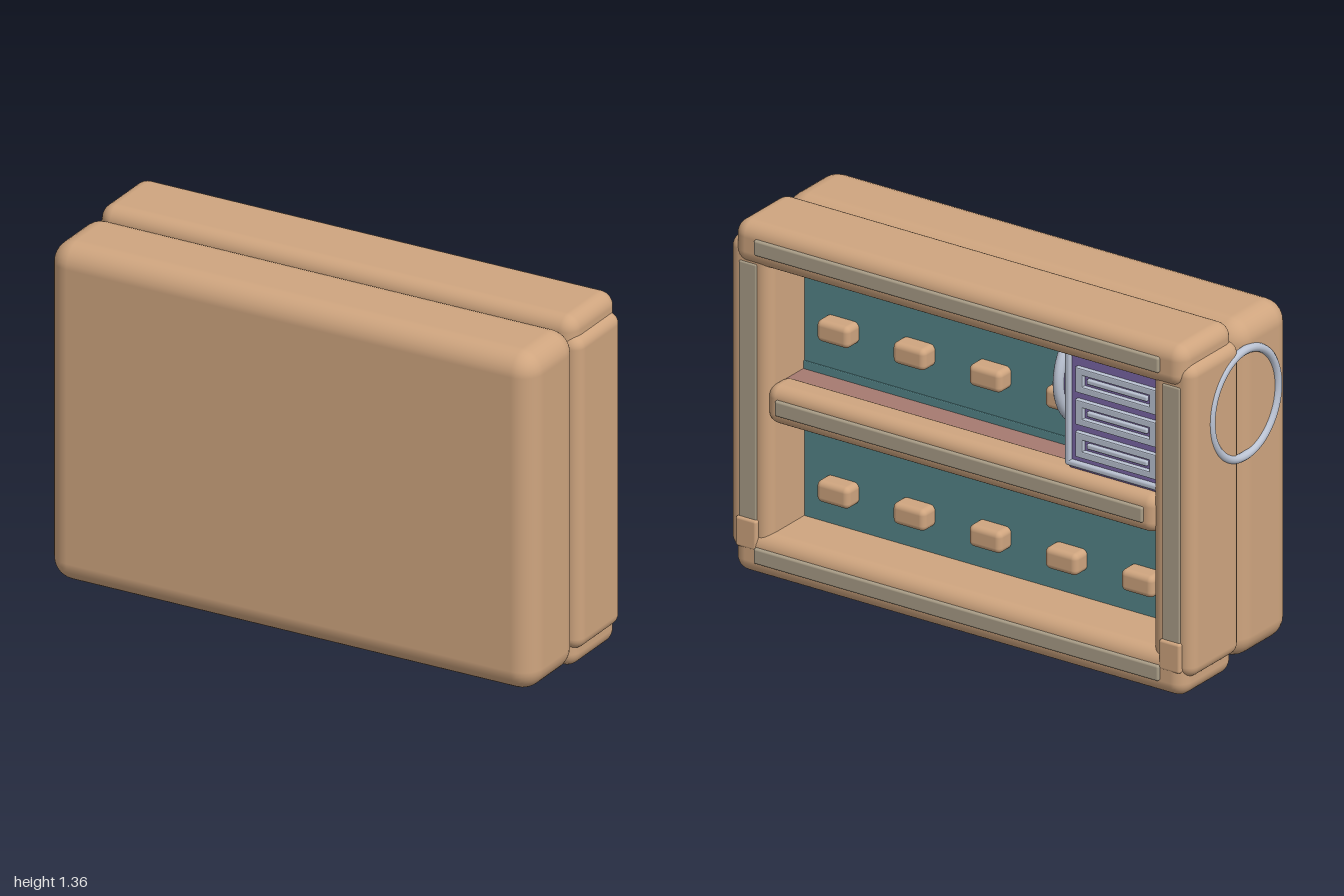
import * as THREE from 'three';
import { RoundedBoxGeometry } from 'three/addons/geometries/RoundedBoxGeometry.js';

const paint = (name, color) => {
  const m = new THREE.MeshStandardMaterial({ color });
  m.name = name;
  return m;
};

export function createModel() {
  const tan = paint('tan shell', 0xcfa57f);
  const beige = paint('beige trim', 0xaa9e88);
  const rose = paint('dusty rose shelf', 0xa67a70);
  const teal = paint('teal panel', 0x55868a);
  const purple = paint('purple casing', 0x7a66a6);
  const steel = paint('pale steel', 0xbcc4d4);

  const model = new THREE.Group();
  model.name = 'shelfCase';

  const add = (name, geometry, material, x = 0, y = 0, z = 0, parent = model) => {
    const mesh = new THREE.Mesh(geometry, material);
    mesh.name = name;
    mesh.position.set(x, y, z);
    parent.add(mesh);
    return mesh;
  };
  // Rounded box given by its min and max on each axis
  const block = (name, material, [x0, x1], [y0, y1], [z0, z1], r, parent = model) =>
    add(name, new RoundedBoxGeometry(x1 - x0, y1 - y0, z1 - z0, 4, r), material,
      (x0 + x1) / 2, (y0 + y1) / 2, (z0 + z1) / 2, parent);

  // Solid front shell
  block('frontShell', tan, [-0.99, 0.99], [0.027, 1.333], [-0.005, 0.325], 0.085);

  // Frame around the open back
  block('topBar', tan, [-0.97, 0.97], [1.19, 1.355], [-0.315, 0.003], 0.055);
  block('bottomBar', tan, [-0.97, 0.97], [0, 0.165], [-0.315, 0.003], 0.055);
  for (const s of [-1, 1]) {
    const span = (a, b) => (s > 0 ? [a, b] : [-b, -a]);
    block('sideBar', tan, span(0.82, 0.997), [0.077, 1.285], [-0.3, 0.005], 0.045);
    block('sideTrim', beige, span(0.872, 0.948), [0.19, 1.2], [-0.306, -0.29], 0.006);
    block('cornerBlock', tan, span(0.865, 0.955), [0.1, 0.215], [-0.317, -0.28], 0.01);
  }
  for (const y of [0.085, 1.275])
    block('edgeTrim', beige, [-0.87, 0.87], [y - 0.03, y + 0.03], [-0.327, -0.3], 0.008);

  // Back panel with a raised rail behind the shelf
  block('backPanel', teal, [-0.85, 0.85], [0.13, 1.22], [-0.085, 0.01], 0.004);
  block('panelRail', teal, [-0.84, 0.84], [0.575, 0.765], [-0.091, -0.07], 0.003);

  // Middle shelf
  block('shelfPlate', rose, [-0.84, 0.84], [0.605, 0.735], [-0.25, -0.07], 0.004);
  block('shelfLip', tan, [-0.84, 0.84], [0.595, 0.745], [-0.3, -0.17], 0.045);
  block('shelfTrim', beige, [-0.79, 0.79], [0.64, 0.7], [-0.312, -0.29], 0.008);

  // Two rows of pegs
  for (const y of [0.31, 0.93])
    for (let i = -2; i <= 2; i++)
      block('peg', tan, [i * 0.327 - 0.07, i * 0.327 + 0.07], [y - 0.042, y + 0.042], [-0.155, -0.07], 0.022);

  // Machine in the upper compartment
  const machine = new THREE.Group();
  machine.name = 'machine';
  model.add(machine);
  block('machineCase', purple, [-0.86, -0.43], [0.74, 1.2], [-0.255, -0.05], 0.015, machine);
  block('caseEdge', steel, [-0.45, -0.425], [0.755, 1.2], [-0.268, -0.24], 0.01, machine);
  block('caseSill', steel, [-0.84, -0.43], [0.755, 0.78], [-0.268, -0.24], 0.01, machine);

  // Vents: a frame with one bar inside
  const ventShape = new THREE.Shape();
  const rect = (path, w, h) => path.moveTo(-w, -h).lineTo(w, -h).lineTo(w, h).lineTo(-w, h).closePath();
  rect(ventShape, 0.17, 0.044);
  const hole = new THREE.Path();
  rect(hole, 0.148, 0.026);
  ventShape.holes.push(hole);
  const ventGeometry = new THREE.ExtrudeGeometry(ventShape, {
    depth: 0.02, bevelSize: 0.004, bevelThickness: 0.004, bevelSegments: 2,
  });
  for (const y of [0.85, 0.975, 1.1]) {
    add('ventFrame', ventGeometry, steel, -0.65, y, -0.27, machine);
    block('ventBar', steel, [-0.78, -0.52], [y - 0.01, y + 0.01], [-0.268, -0.25], 0.006, machine);
  }

  // Round nozzle with two rings, its axis along x
  const profile = [[0, 0], [0.19, 0], [0.175, 0.035], [0.19, 0.07], [0.205, 0.13]]
    .map(([r, h]) => new THREE.Vector2(r, -h)).reverse();
  const nozzle = add('nozzle', new THREE.LatheGeometry(profile, 48), purple, -0.33, 1.01, 0.02, machine);
  nozzle.rotation.z = -Math.PI / 2;
  for (const [x, r] of [[-0.335, 0.195], [-0.4, 0.205]]) {
    const ring = add('nozzleRing', new THREE.TorusGeometry(r, 0.02, 12, 48), steel, x, 1.01, 0.02, machine);
    ring.rotation.y = Math.PI / 2;
  }

  // Ring on the outer right side
  const port = add('sideRing', new THREE.TorusGeometry(0.204, 0.016, 12, 64), steel, -0.99, 1.03, 0.03);
  port.rotation.y = Math.PI / 2;

  return model;
}
